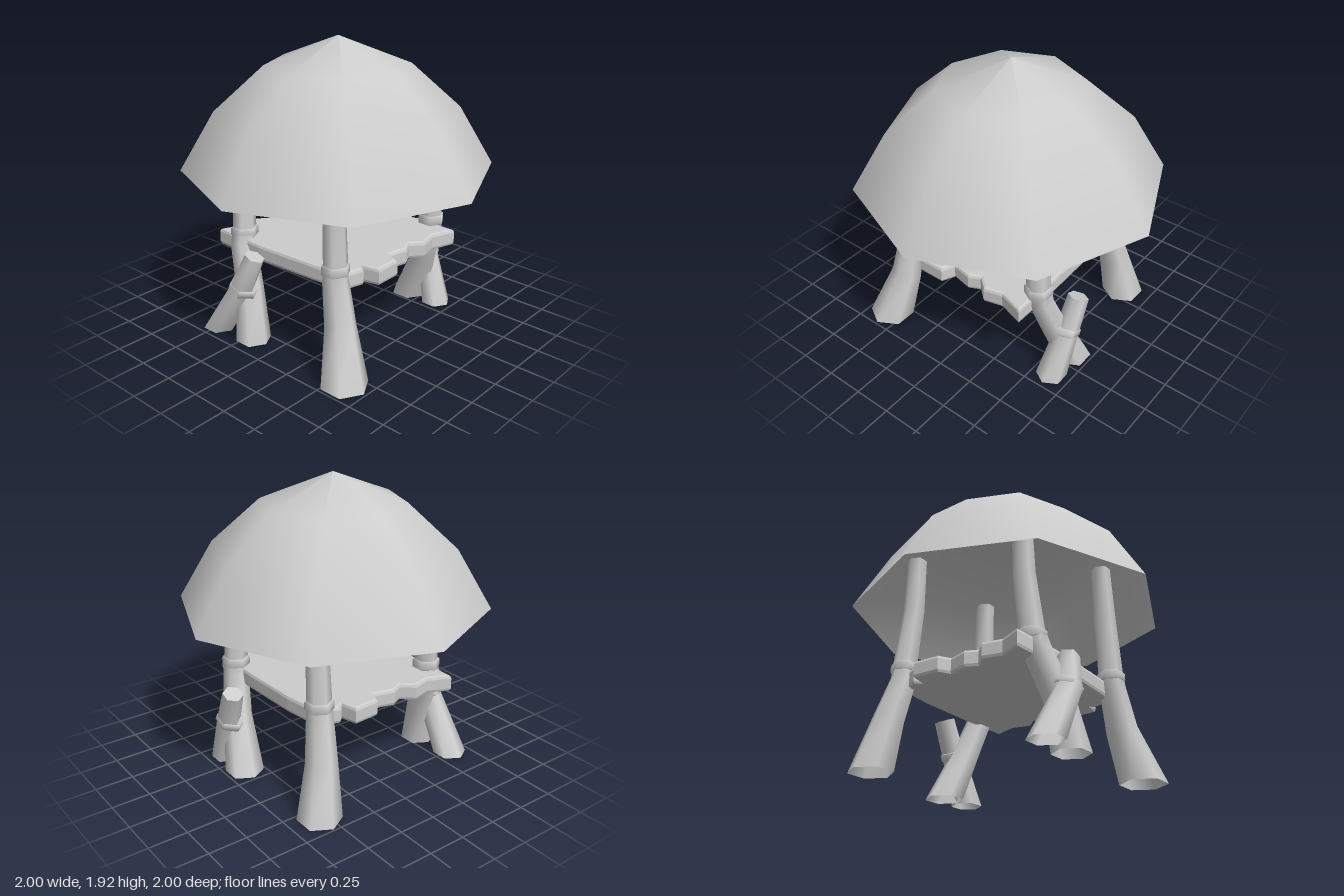
import * as THREE from 'three';

const grey = new THREE.MeshStandardMaterial({ color: 0xcccccc, side: THREE.DoubleSide });
grey.name = 'plain grey';

function add(group, geometry, name) {
  const mesh = new THREE.Mesh(geometry, grey);
  mesh.name = name;
  group.add(mesh);
  return mesh;
}

// Six-sided log through stations [x, y, z, radius]; rings face along the path,
// and a ring on the ground lies flat.
function log(stations, capped = false) {
  const sides = 6, pos = [], index = [];
  const pts = stations.map(s => new THREE.Vector3(s[0], s[1], s[2]));
  const up = new THREE.Vector3(0, 1, 0);
  pts.forEach((p, i) => {
    const dir = pts[Math.min(i + 1, pts.length - 1)].clone().sub(pts[Math.max(i - 1, 0)]).normalize();
    if (p.y === 0) dir.copy(up);
    const q = new THREE.Quaternion().setFromUnitVectors(up, dir);
    for (let k = 0; k < sides; k++) {
      const a = (k / sides) * Math.PI * 2, r = stations[i][3];
      const v = new THREE.Vector3(Math.cos(a) * r, 0, Math.sin(a) * r).applyQuaternion(q).add(p);
      pos.push(v.x, v.y, v.z);
    }
  });
  for (let i = 0; i < pts.length - 1; i++) {
    for (let k = 0; k < sides; k++) {
      const a = i * sides + k, b = i * sides + (k + 1) % sides;
      index.push(a, a + sides, b, b, a + sides, b + sides);
    }
  }
  // Separate vertices keep the cut end sharp
  if (capped) {
    const start = pos.length / 3;
    pos.push(...pos.slice(-sides * 3));
    for (let k = 1; k < sides - 1; k++) index.push(start, start + k + 1, start + k);
  }
  const g = new THREE.BufferGeometry();
  g.setAttribute('position', new THREE.Float32BufferAttribute(pos, 3));
  g.setIndex(index);
  g.computeVertexNormals();
  return g;
}

// Short binding with a rounded outside, wrapped around a log
function binding(from, to, r) {
  const at = t => from.map((v, i) => v + (to[i] - v) * t);
  return log([[...at(0), r * 0.85], [...at(0.15), r], [...at(0.85), r], [...at(1), r * 0.85]]);
}

export function createModel() {
  const model = new THREE.Group();

  // Eight-sided hollow cap
  const profile = [[1, 1.08], [0.775, 1.46], [0.458, 1.745], [0, 1.925]]
    .map(p => new THREE.Vector2(...p));
  const dome = add(model, new THREE.LatheGeometry(profile, 8), 'domeRoof');
  dome.rotation.y = 0.02;

  // Legs, spreading toward the ground
  const legs = {
    frontLeftLeg: [[0.585, 0, 0.6, 0.15], [0.485, 0.33, 0.525, 0.1], [0.43, 0.6, 0.505, 0.083],
      [0.425, 0.7, 0.5, 0.078], [0.405, 1.08, 0.49, 0.07], [0.4, 1.45, 0.48, 0.062]],
    frontRightLeg: [[-0.21, 0, 0.59, 0.115], [-0.27, 0.33, 0.55, 0.09], [-0.38, 0.58, 0.49, 0.085],
      [-0.395, 0.7, 0.465, 0.077], [-0.415, 1.08, 0.43, 0.068], [-0.42, 1.45, 0.42, 0.062]],
    backLeftLeg: [[0.14, 0, -0.62, 0.125], [0.285, 0.33, -0.57, 0.092], [0.37, 0.58, -0.52, 0.083],
      [0.38, 0.7, -0.51, 0.077], [0.37, 1.08, -0.49, 0.068], [0.37, 1.45, -0.48, 0.062]],
    backRightLeg: [[-0.6, 0, -0.55, 0.14], [-0.54, 0.33, -0.49, 0.1], [-0.47, 0.6, -0.45, 0.083],
      [-0.465, 0.7, -0.45, 0.077], [-0.425, 1.08, -0.435, 0.068], [-0.42, 1.45, -0.43, 0.062]],
  };
  for (const [name, path] of Object.entries(legs)) {
    add(model, log(path), name);
    const [x, , z] = path[3];
    add(model, binding([x, 0.64, z], [x, 0.705, z], 0.09), name + 'Binding');
  }

  // Slanted props tied across two of the legs
  const props = {
    frontProp: [[-0.5, 0, 0.62, 0.11], [-0.27, 0.36, 0.62, 0.08], [-0.19, 0.585, 0.575, 0.068]],
    backProp: [[0.37, 0, -0.62, 0.1], [0.26, 0.33, -0.655, 0.075], [0.17, 0.555, -0.665, 0.068]],
  };
  for (const [name, path] of Object.entries(props)) {
    add(model, log(path, true), name);
    const [x, y, z] = path[1], lean = Math.sign(path[2][0] - x) * 0.012;
    add(model, binding([x - lean, y - 0.025, z * 0.97], [x + lean, y + 0.025, z * 0.97], 0.1), name + 'Binding');
  }

  // Plank floor with broken ends, drawn as x and z
  const outline = [[-0.57, 0.49], [-0.2, 0.5], [0.2, 0.48], [0.45, 0.46], [0.48, 0.34], [0.44, 0.3],
    [0.56, 0.27], [0.56, 0.12], [0.47, 0.08], [0.5, -0.06], [0.46, -0.14], [0.53, -0.22],
    [0.5, -0.34], [0.55, -0.49], [0.2, -0.49], [-0.2, -0.48], [-0.45, -0.45], [-0.49, -0.33],
    [-0.45, -0.28], [-0.56, -0.25], [-0.55, -0.1], [-0.47, -0.06], [-0.51, 0.08], [-0.47, 0.16],
    [-0.54, 0.24], [-0.51, 0.36]];
  const shape = new THREE.Shape(outline.map(([x, z]) => new THREE.Vector2(x, -z)));
  const floor = add(model, new THREE.ExtrudeGeometry(shape, {
    depth: 0.07, bevelEnabled: true, bevelThickness: 0.022, bevelSize: 0.02, bevelSegments: 2,
  }), 'plankFloor');
  floor.rotation.x = -Math.PI / 2;
  floor.position.y = 0.55;

  return model;
}
